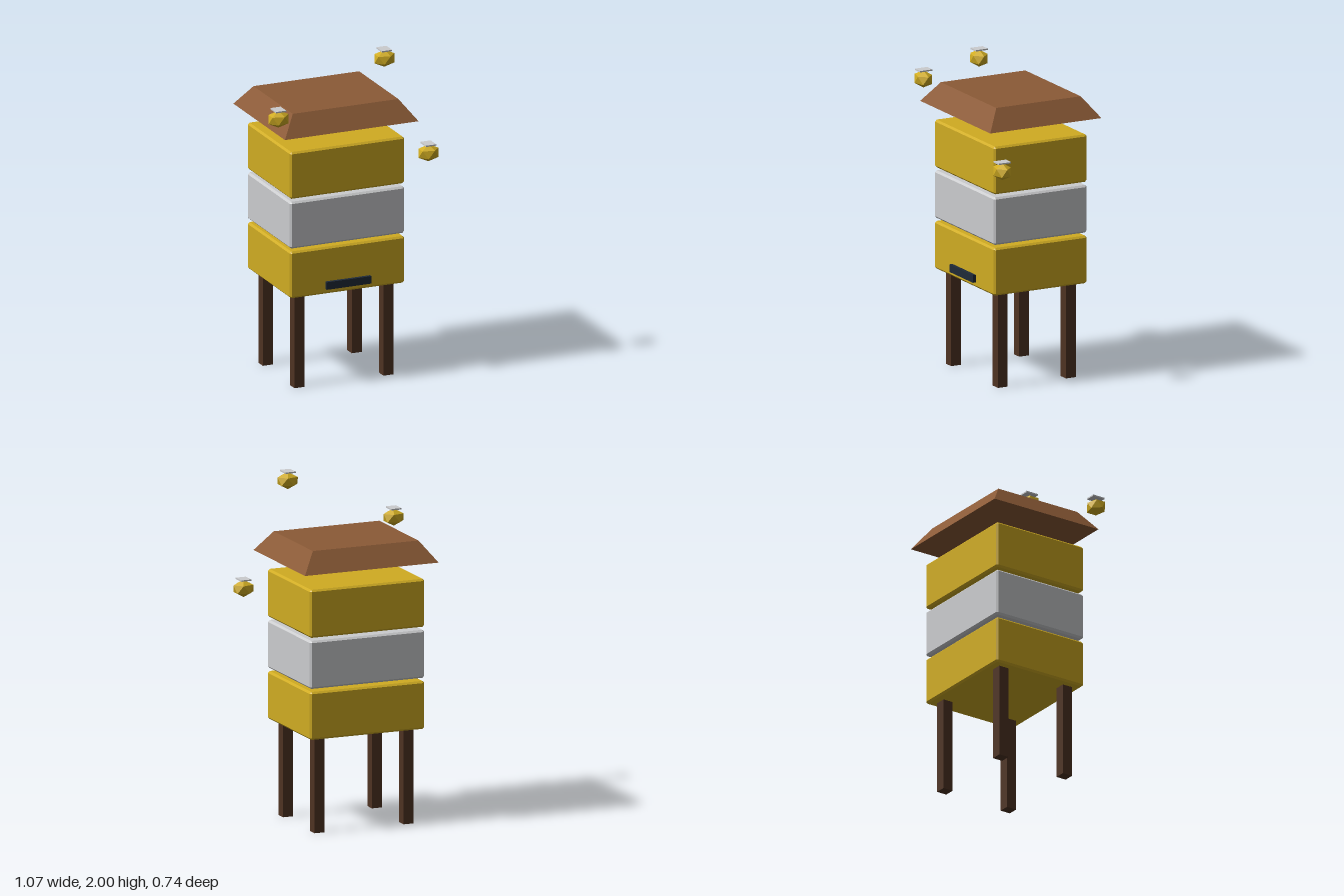
import * as THREE from 'three';
import { ConvexGeometry } from 'three/addons/geometries/ConvexGeometry.js';

const material = (name, color) => {
  const m = new THREE.MeshStandardMaterial({ color });
  m.name = name;
  return m;
};

// Box with flat chamfers on every edge
function chamferedBox(w, h, d, c) {
  const points = [];
  for (const sx of [-1, 1]) for (const sy of [-1, 1]) for (const sz of [-1, 1]) {
    const x = w / 2, y = h / 2, z = d / 2;
    points.push(
      new THREE.Vector3(sx * x, sy * (y - c), sz * (z - c)),
      new THREE.Vector3(sx * (x - c), sy * y, sz * (z - c)),
      new THREE.Vector3(sx * (x - c), sy * (y - c), sz * z)
    );
  }
  return new ConvexGeometry(points);
}

// Box whose upper face is narrowed to the given width and depth
function taperedBox(w, h, d, topW, topD) {
  const g = new THREE.BoxGeometry(w, h, d).toNonIndexed();
  const p = g.attributes.position;
  for (let i = 0; i < p.count; i++) {
    if (p.getY(i) > 0) {
      p.setX(i, Math.sign(p.getX(i)) * topW / 2);
      p.setZ(i, Math.sign(p.getZ(i)) * topD / 2);
    }
  }
  g.computeVertexNormals();
  return g;
}

// Twenty-sided body standing on a vertex: two poles and two staggered rings of five
function beeBody(rx, ry, rz) {
  const points = [new THREE.Vector3(0, ry, 0), new THREE.Vector3(0, -ry, 0)];
  const ringY = 1 / Math.sqrt(5), ringR = 2 / Math.sqrt(5);
  for (let i = 0; i < 5; i++) {
    const a = (i * Math.PI * 2) / 5;
    const x = Math.cos(a) * ringR * rx, z = Math.sin(a) * ringR * rz;
    points.push(new THREE.Vector3(x, ringY * ry, z), new THREE.Vector3(-x, -ringY * ry, z));
  }
  return new ConvexGeometry(points);
}

export function createModel() {
  const honey = material('honey yellow', 0xd0ac22);
  const pale = material('pale grey', 0xcbccce);
  const roofBrown = material('roof brown', 0x8b5a36);
  const legBrown = material('dark wood', 0x4e3323);
  const dark = material('entrance dark', 0x1f2a38);

  const model = new THREE.Group();
  model.name = 'beehive';
  const add = (parent, name, geometry, mat, x, y, z) => {
    const mesh = new THREE.Mesh(geometry, mat);
    mesh.name = name;
    mesh.position.set(x, y, z);
    parent.add(mesh);
    return mesh;
  };

  const hive = new THREE.Group();
  hive.name = 'hive';
  hive.position.set(-0.029, 0, -0.006);
  model.add(hive);

  // Legs
  const legGeometry = new THREE.BoxGeometry(0.064, 0.565, 0.064);
  for (const sx of [-1, 1]) for (const sz of [-1, 1]) {
    add(hive, (sz > 0 ? 'front' : 'back') + (sx > 0 ? 'Left' : 'Right') + 'Leg',
      legGeometry, legBrown, sx * 0.279, 0.2825, sz * 0.222);
  }

  // Stacked hive boxes
  const boxGeometry = chamferedBox(0.718, 0.282, 0.608, 0.011);
  [['lowerBox', honey], ['middleBox', pale], ['upperBox', honey]].forEach(([name, mat], i) =>
    add(hive, name, boxGeometry, mat, 0, 0.701 + i * 0.3, 0));

  // Entrance slot
  add(hive, 'entrance', new THREE.BoxGeometry(0.28, 0.045, 0.04), dark, 0, 0.614, 0.304);

  // Roof
  add(hive, 'roof', taperedBox(0.838, 0.12, 0.725, 0.662, 0.551), roofBrown, 0, 1.605, 0);

  // Hovering bees
  const body = beeBody(0.07, 0.051, 0.055);
  const wing = new THREE.BoxGeometry(0.064, 0.008, 0.08);
  [[-0.473, 1.665], [0.191, 1.942], [0.468, 1.334]].forEach(([x, y], i) => {
    const bee = new THREE.Group();
    bee.name = 'bee' + (i + 1);
    bee.position.set(x, y, 0.322);
    add(bee, 'beeBody', body, honey, 0, 0, 0);
    add(bee, 'beeWings', wing, pale, 0, 0.054, -0.002);
    model.add(bee);
  });

  return model;
}
